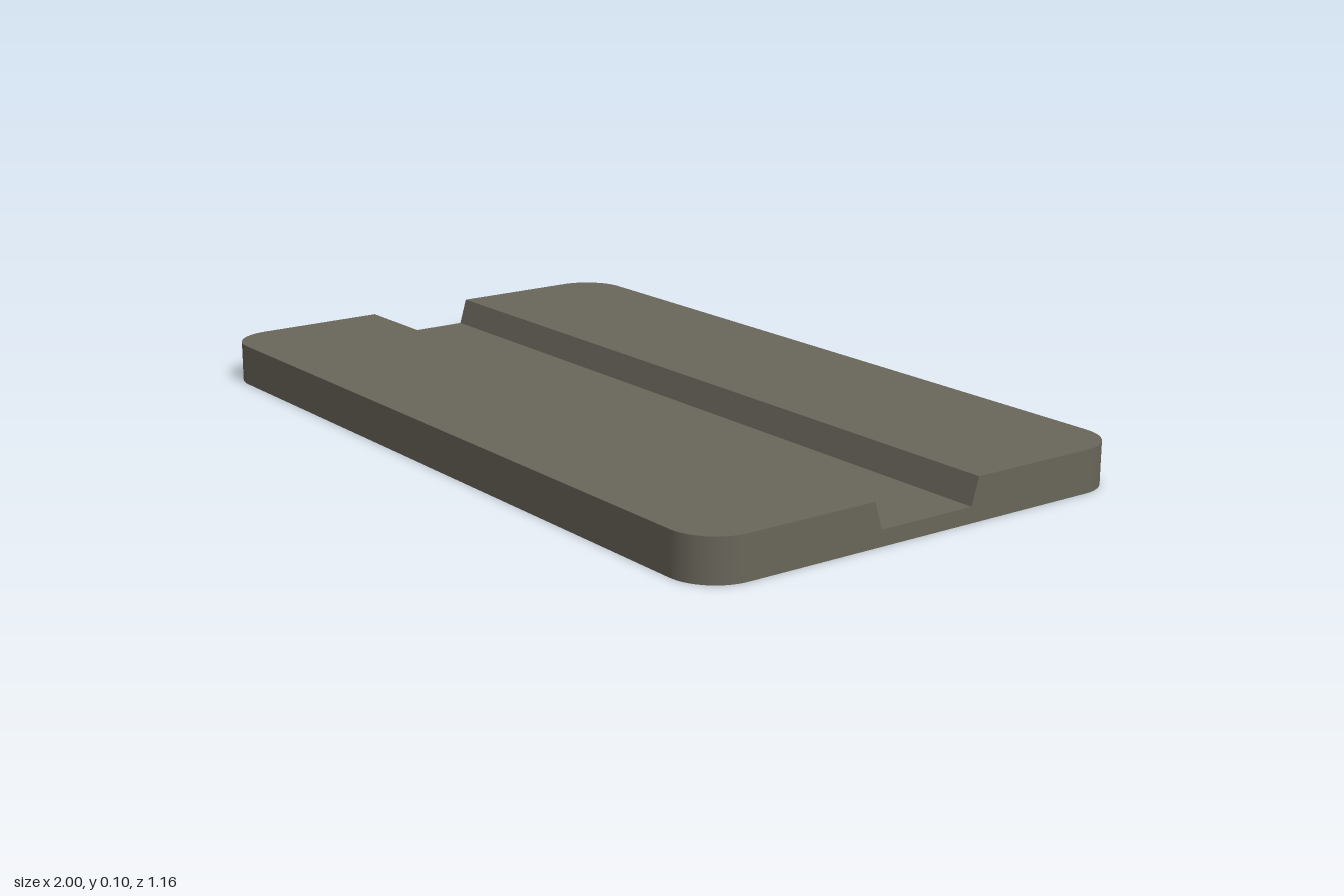
import * as THREE from 'three';

const HALF_X = 1, HALF_Z = 0.58, HEIGHT = 0.1, RADIUS = 0.11;
const FLOOR_Y = 0.037, LIP_Z = 0.144, FLOOR_Z = 0.125;
const STEPS = 16;

// Channel cross-section from front lip to back lip, as [z, y]
const channel = [[LIP_Z, HEIGHT], [FLOOR_Z, FLOOR_Y], [-FLOOR_Z, FLOOR_Y], [-LIP_Z, HEIGHT]];

function meshFrom(positions, indices, normals) {
  const geo = new THREE.BufferGeometry();
  geo.setAttribute('position', new THREE.Float32BufferAttribute(positions, 3));
  geo.setIndex(indices);
  if (normals) geo.setAttribute('normal', new THREE.Float32BufferAttribute(normals, 3));
  else geo.computeVertexNormals();
  return geo;
}

// Flat top beside the channel, with two rounded outer corners
function landGeometry() {
  const cx = HALF_X - RADIUS, cz = HALF_Z - RADIUS;
  const s = new THREE.Shape();
  s.moveTo(HALF_X, -LIP_Z);
  s.lineTo(-HALF_X, -LIP_Z);
  s.lineTo(-HALF_X, -cz);
  s.absarc(-cx, -cz, RADIUS, Math.PI, Math.PI * 1.5, false);
  s.lineTo(cx, -HALF_Z);
  s.absarc(cx, -cz, RADIUS, Math.PI * 1.5, Math.PI * 2, false);
  s.closePath();
  return new THREE.ShapeGeometry(s, STEPS).rotateX(-Math.PI / 2).translate(0, HEIGHT, 0);
}

// Two sloped sides and a flat floor, with hard edges
function channelGeometry() {
  const pos = [], idx = [];
  for (let i = 0; i < channel.length - 1; i++) {
    const [za, ya] = channel[i], [zb, yb] = channel[i + 1], n = i * 4;
    pos.push(-HALF_X, ya, za, HALF_X, ya, za, HALF_X, yb, zb, -HALF_X, yb, zb);
    idx.push(n, n + 1, n + 2, n, n + 2, n + 3);
  }
  return meshFrom(pos, idx);
}

// Thin skirt around the rounded outline, notched where the channel runs out
function skirtGeometry() {
  const outline = []; // x, z, top y, normal x, normal z
  const corner = (sx, sz, start) => {
    for (let i = 0; i <= STEPS; i++) {
      const a = start + (i / STEPS) * Math.PI / 2, c = Math.cos(a), s = Math.sin(a);
      outline.push([sx * (HALF_X - RADIUS) + RADIUS * c, sz * (HALF_Z - RADIUS) + RADIUS * s, HEIGHT, c, s]);
    }
  };
  const notch = (sx) => channel.forEach(([z, y]) => outline.push([sx * HALF_X, -sx * z, y, sx, 0]));
  corner(1, -1, -Math.PI / 2);
  notch(1);
  corner(1, 1, 0);
  corner(-1, 1, Math.PI / 2);
  notch(-1);
  corner(-1, -1, Math.PI);
  outline.push(outline[0]);

  const pos = [], nor = [], idx = [];
  outline.forEach(([x, z, top, nx, nz], i) => {
    pos.push(x, 0, z, x, top, z);
    nor.push(nx, 0, nz, nx, 0, nz);
    if (i) {
      const n = (i - 1) * 2;
      idx.push(n, n + 1, n + 2, n + 1, n + 3, n + 2);
    }
  });
  return meshFrom(pos, idx, nor);
}

export function createModel() {
  const model = new THREE.Group();
  model.name = 'channelledTray';
  const material = new THREE.MeshStandardMaterial({ color: 0x69665a, side: THREE.DoubleSide });
  material.name = 'warmGrey';

  const add = (name, geo) => {
    const mesh = new THREE.Mesh(geo, material);
    mesh.name = name;
    model.add(mesh);
  };

  // Open-bottomed shell: two tops, the channel between them and the skirt
  add('frontTop', landGeometry());
  add('backTop', landGeometry().rotateY(Math.PI));
  add('channel', channelGeometry());
  add('skirt', skirtGeometry());
  return model;
}
